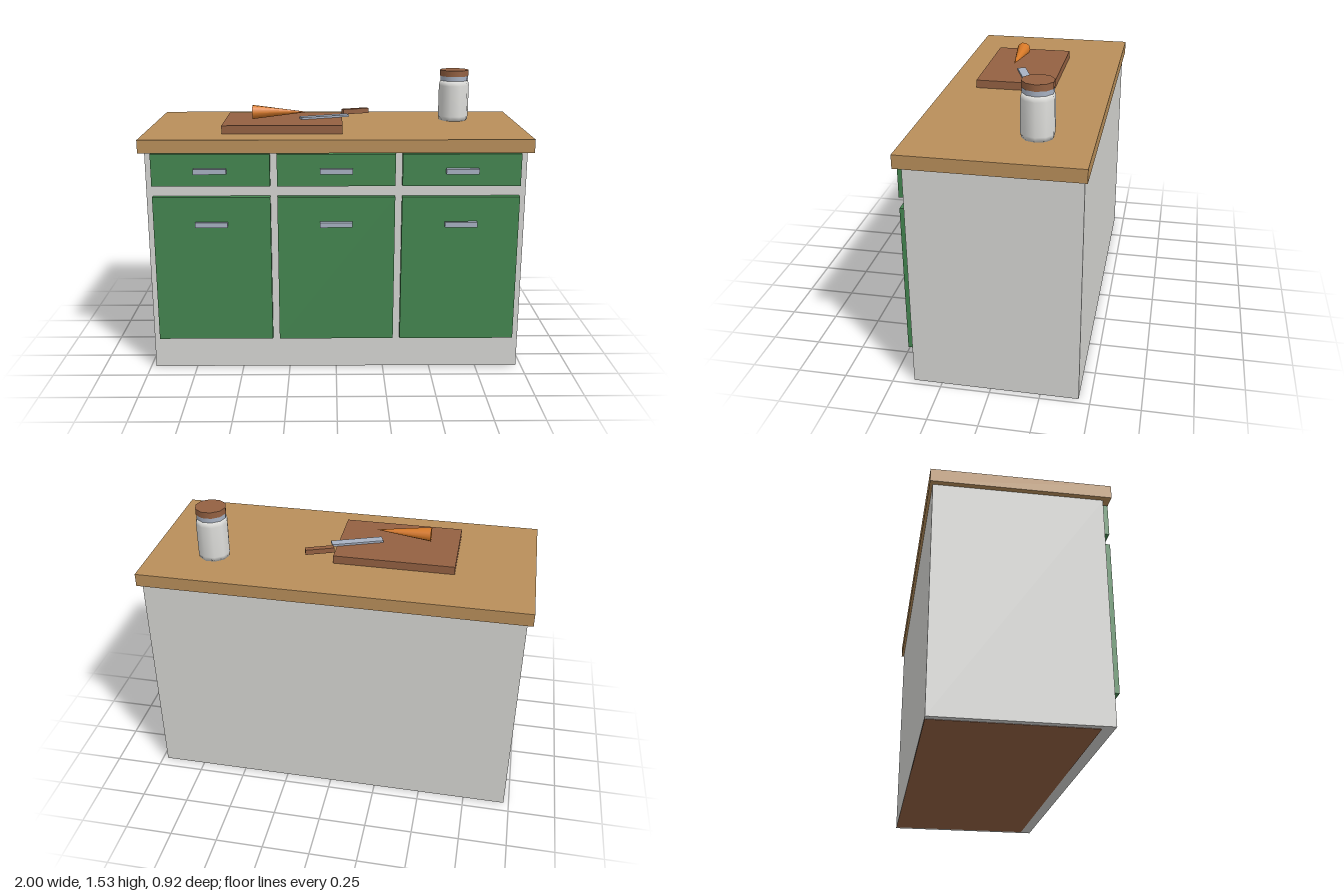
import * as THREE from 'three';

const material = (name, color) => {
  const m = new THREE.MeshStandardMaterial({ color });
  m.name = name;
  return m;
};

export function createModel() {
  const model = new THREE.Group();
  model.name = 'kitchenCounter';

  const white = material('cabinet white', 0xd6d6d3);
  const green = material('door green', 0x448650);
  const oak = material('worktop wood', 0xb98f5a);
  const darkWood = material('dark wood', 0x946142);
  const steel = material('steel', 0xa8b2c3);
  const orange = material('carrot orange', 0xd97a28);
  const jarWhite = material('jar white', 0xdededb);

  const add = (name, geometry, mat, x, y, z, parent = model) => {
    const mesh = new THREE.Mesh(geometry, mat);
    mesh.name = name;
    mesh.position.set(x, y, z);
    parent.add(mesh);
    return mesh;
  };
  // Box given by its minimum and maximum corners
  const box = (name, mat, [x0, y0, z0], [x1, y1, z1], parent) =>
    add(name, new THREE.BoxGeometry(x1 - x0, y1 - y0, z1 - z0), mat,
      (x0 + x1) / 2, (y0 + y1) / 2, (z0 + z1) / 2, parent);

  // Carcass, recessed base and worktop
  box('cabinet', white, [-0.972, 0.002, -0.442], [0.972, 1.182, 0.394]);
  box('plinth', darkWood, [-0.94, 0, -0.44], [0.94, 0.1, 0.335]);
  box('worktop', oak, [-1, 1.182, -0.457], [1, 1.25, 0.43]);

  // Bar handle on two short posts
  const addHandle = (x, y) => {
    const handle = new THREE.Group();
    handle.name = 'handle';
    handle.position.set(x, y, 0.426);
    box('handleBar', steel, [-0.083, -0.013, 0.009], [0.083, 0.013, 0.033], handle);
    for (const s of [-1, 1]) {
      add('handlePost', new THREE.BoxGeometry(0.025, 0.02, 0.012), steel, s * 0.06, 0, 0.005, handle);
    }
    model.add(handle);
  };

  // Three bays, each with a drawer above a door
  for (const x of [-0.638, 0, 0.638]) {
    box('drawer', green, [x - 0.301, 1.01, 0.39], [x + 0.301, 1.176, 0.426]);
    box('door', green, [x - 0.301, 0.175, 0.39], [x + 0.301, 0.953, 0.426]);
    addHandle(x, 1.092);
    addHandle(x, 0.813);
  }

  // Chopping board
  box('choppingBoard', darkWood, [-0.594, 1.25, -0.155], [0.034, 1.293, 0.264]);

  // Knife, turned across the board
  add('knifeBlade', new THREE.BoxGeometry(0.272, 0.011, 0.046), steel, -0.062, 1.2985, 0.011).rotation.y = 0.36;
  add('knifeHandle', new THREE.BoxGeometry(0.15, 0.027, 0.031), darkWood, 0.11, 1.3065, -0.131).rotation.y = 0.36;

  // Carrot, lying with its tip toward +x
  add('carrot', new THREE.ConeGeometry(0.038, 0.294, 10), orange, -0.297, 1.337, 0.093).rotation.z = -Math.PI / 2;

  // Storage jar with ten sides
  const jar = new THREE.Group();
  jar.name = 'jar';
  jar.position.set(0.665, 1.25, -0.18);
  jar.rotation.y = Math.PI / 2;
  model.add(jar);
  const profile = [[0, 0], [0.079, 0], [0.084, 0.025], [0.084, 0.195], [0.078, 0.222], [0, 0.222]]
    .map(([r, y]) => new THREE.Vector2(r, y));
  add('jarBody', new THREE.LatheGeometry(profile, 10), jarWhite, 0, 0, 0, jar);
  add('jarNeck', new THREE.CylinderGeometry(0.077, 0.077, 0.027, 10), steel, 0, 0.2345, 0, jar);
  add('jarLid', new THREE.CylinderGeometry(0.08, 0.08, 0.033, 10), darkWood, 0, 0.2635, 0, jar);

  return model;
}
